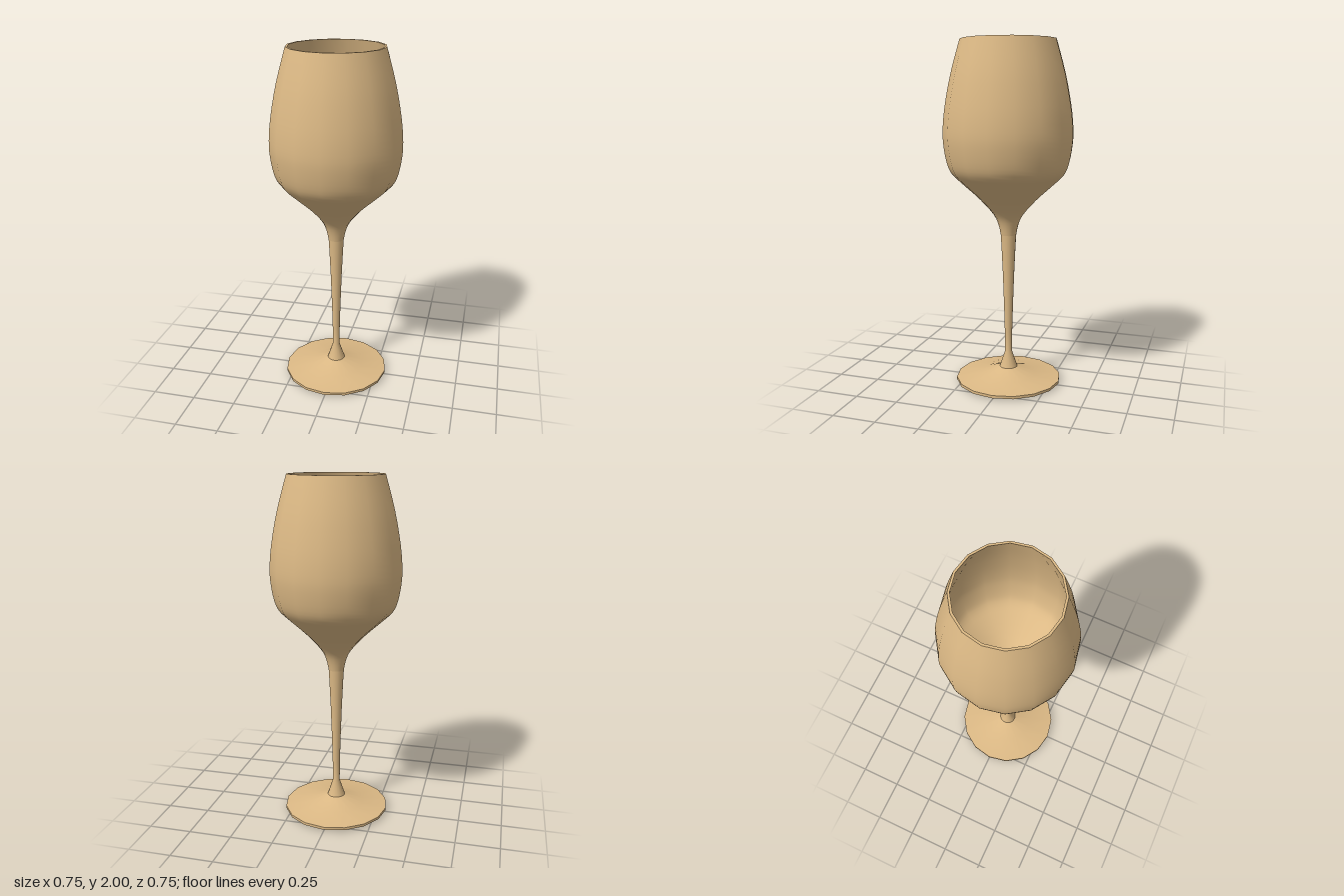
import * as THREE from 'three';

const SIDES = 16;
const vecs = (pts) => pts.map(([r, y]) => new THREE.Vector2(r, y));
const smooth = (pts, n) => new THREE.SplineCurve(vecs(pts)).getPoints(n);

export function createModel() {
  const group = new THREE.Group();
  const tan = new THREE.MeshStandardMaterial({ color: 0xdcb985 });
  tan.name = 'warm tan';

  // Each section is its own lathe so that edges between sections stay sharp
  const turn = (name, points) => {
    const mesh = new THREE.Mesh(new THREE.LatheGeometry(points, SIDES), tan);
    mesh.name = name;
    group.add(mesh);
  };

  // Foot: small centre pip, flat underside, thin edge, sloping top
  turn('footPip', vecs([[0, 0], [0.004, 0.01]]));
  turn('footUnderside', vecs([[0, 0.01], [0.31, 0.01]]));
  turn('footEdge', vecs([[0.31, 0.01], [0.31, 0.026]]));
  turn('footTop', vecs([[0.31, 0.026], [0.165, 0.043], [0.052, 0.085]]));

  // Stem: flared collar, then a slim shaft widening upward
  turn('stem', vecs([
    [0.052, 0.085], [0.021, 0.18], [0.022, 0.3], [0.026, 0.45],
    [0.033, 0.65], [0.041, 0.82], [0.045, 0.89],
  ]));

  // Bowl outside
  turn('bowlOutside', smooth([
    [0.045, 0.89], [0.058, 0.95], [0.086, 1.01], [0.165, 1.1], [0.275, 1.2],
    [0.325, 1.25], [0.352, 1.31], [0.37, 1.41], [0.373, 1.5], [0.36, 1.63],
    [0.325, 1.81], [0.272, 2],
  ], 33));

  // Rim
  turn('rim', vecs([[0.272, 2], [0.26, 2]]));

  // Bowl inside, from rim down to the centre
  turn('bowlInside', smooth([
    [0.26, 2], [0.312, 1.81], [0.347, 1.63], [0.36, 1.5], [0.357, 1.41],
    [0.339, 1.315], [0.313, 1.262], [0.262, 1.21], [0.153, 1.112],
    [0.07, 1.045], [0, 1.02],
  ], 30));

  return group;
}
